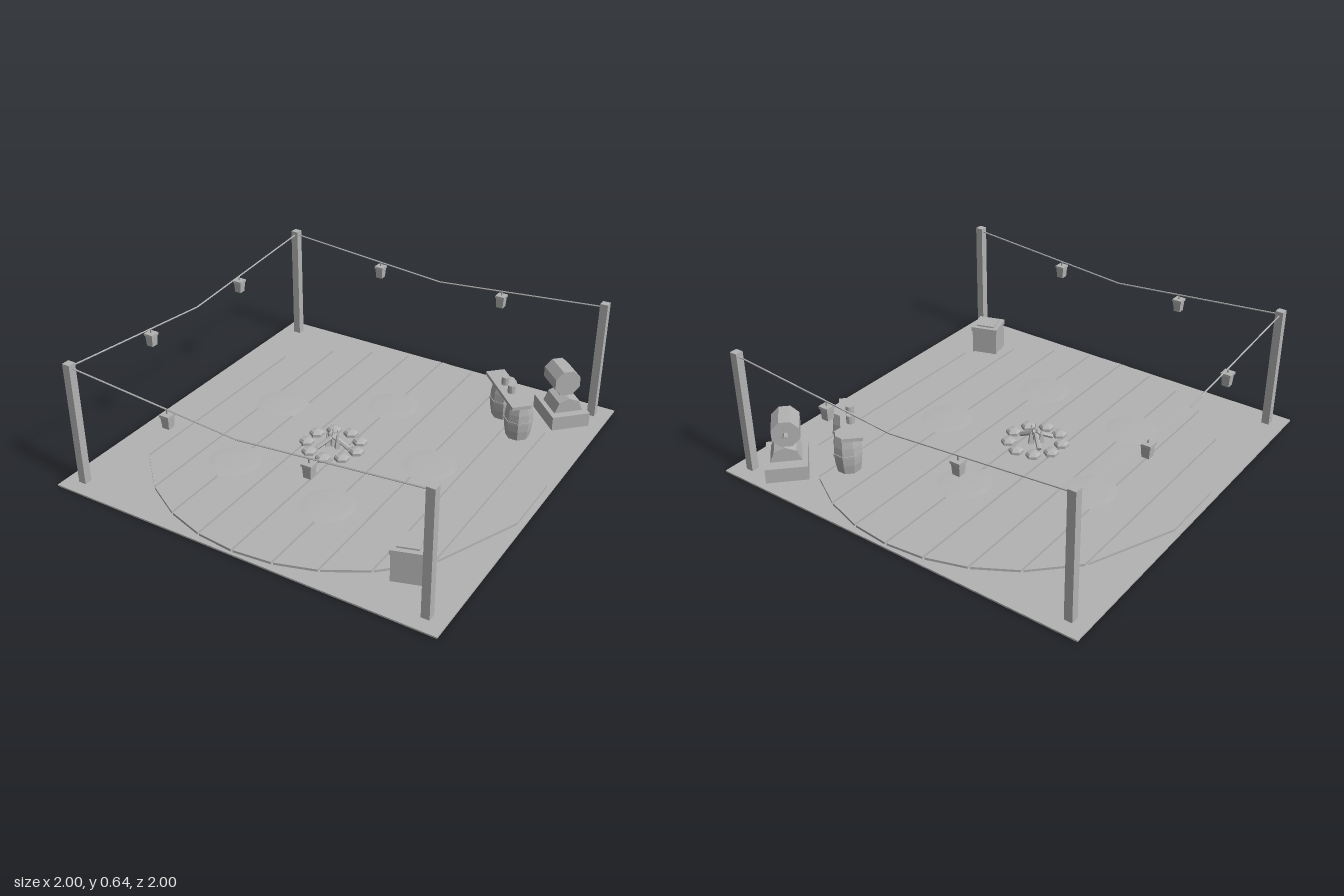
import * as THREE from 'three';

const grey = new THREE.MeshStandardMaterial({ color: 0xb3b3b3, flatShading: true });
grey.name = 'plain grey';

function add(parent, name, geometry, x = 0, y = 0, z = 0) {
  const mesh = new THREE.Mesh(geometry, grey);
  mesh.name = name;
  mesh.position.set(x, y, z);
  parent.add(mesh);
  return mesh;
}

function group(parent, name, x = 0, y = 0, z = 0, turn = 0) {
  const g = new THREE.Group();
  g.name = name;
  g.position.set(x, y, z);
  g.rotation.y = turn;
  parent.add(g);
  return g;
}

const box = (w, h, d) => new THREE.BoxGeometry(w, h, d);

// Straight bar between two points
function bar(parent, name, a, b, radius, sides, endRadius = radius) {
  const from = new THREE.Vector3(...a), to = new THREE.Vector3(...b);
  const dir = to.clone().sub(from);
  const mesh = add(parent, name, new THREE.CylinderGeometry(endRadius, radius, dir.length(), sides));
  mesh.position.copy(from).add(to).multiplyScalar(0.5);
  mesh.quaternion.setFromUnitVectors(new THREE.Vector3(0, 1, 0), dir.normalize());
}

// Ten boards cut to a round outline, with narrow gaps
function buildDeck(parent) {
  const deck = group(parent, 'deck');
  const R = 0.985, pitch = 0.196, gap = 0.01;
  for (let i = -5; i < 5; i++) {
    const x0 = Math.max(i * pitch + gap / 2, -0.97), x1 = Math.min((i + 1) * pitch - gap / 2, 0.97);
    const z0 = Math.sqrt(R * R - x0 * x0), z1 = Math.sqrt(R * R - x1 * x1);
    const shape = new THREE.Shape([[x0, -z0], [x1, -z1], [x1, z1], [x0, z0]].map(p => new THREE.Vector2(...p)));
    const board = new THREE.ExtrudeGeometry(shape, { depth: 0.014, bevelEnabled: false });
    add(deck, 'deckBoard', board.rotateX(-Math.PI / 2), 0, 0.006, 0);
  }
}

// Tapered hanging lantern, origin at the string
function buildLantern(parent, x, z) {
  const lantern = group(parent, 'lantern', x, 0.572, z);
  add(lantern, 'lanternHook', box(0.006, 0.024, 0.006), 0, -0.011, 0);
  add(lantern, 'lanternCap', box(0.05, 0.012, 0.05), 0, -0.028, 0);
  const body = new THREE.CylinderGeometry(0.03, 0.025, 0.055, 4).rotateY(Math.PI / 4);
  add(lantern, 'lanternBody', body, 0, -0.06, 0);
}

// Posts, sagging strings on three sides, two lanterns per string
function buildStringLights(parent) {
  const P = 0.91;
  for (const x of [-P, P]) for (const z of [-P, P]) add(parent, 'post', box(0.04, 0.64, 0.04), x, 0.32, z);
  const sides = [t => [t, -P], t => [t, P], t => [-P, t]];
  for (const place of sides) {
    const [mx, mz] = place(0);
    for (const s of [-1, 1]) {
      const [ex, ez] = place(s * P);
      bar(parent, 'string', [ex, 0.62, ez], [mx, 0.54, mz], 0.004, 5);
      buildLantern(parent, ...place(s * 0.36));
    }
  }
}

// Ring of stones, leaning logs and pointed flames
function buildCampfire(parent) {
  const fire = group(parent, 'campfire', -0.065, 0, 0.057);
  for (let i = 0; i < 9; i++) {
    const a = i / 9 * Math.PI * 2;
    const profile = [[0, 0.006], [0.038, 0.006], [0.038, 0.034], [0.028, 0.044], [0, 0.05]];
    const stone = new THREE.LatheGeometry(profile.map(p => new THREE.Vector2(...p)), 6);
    add(fire, 'stone', stone, 0.133 * Math.cos(a), 0, 0.133 * Math.sin(a));
  }
  for (const a of [0, 2.15, 3.9]) {
    const c = Math.cos(a), s = Math.sin(a);
    bar(fire, 'log', [c * 0.09, 0.03, s * 0.09], [-c * 0.02, 0.085, -s * 0.02], 0.012, 6);
  }
  for (const [x, z, h] of [[0, 0, 0.11], [0.03, 0.01, 0.09], [-0.025, 0.015, 0.075], [0.01, -0.025, 0.085]])
    add(fire, 'flame', new THREE.ConeGeometry(0.018, h, 4), x, 0.02 + h / 2, z);
}

// Shallow round mats around the fire
function buildMats(parent) {
  for (let i = 0; i < 5; i++) {
    const a = (-83 + 72 * i) * Math.PI / 180;
    const mat = new THREE.SphereGeometry(0.14, 24, 4, 0, Math.PI * 2, 0, Math.PI / 2).scale(1, 0.04, 1);
    add(parent, 'roundMat', mat, -0.06 + 0.495 * Math.cos(a), 0.018, 0.062 + 0.495 * Math.sin(a));
  }
}

// Board on two barrels with two cups
function buildBarrelTable(parent) {
  const table = group(parent, 'barrelTable', 0.58, 0, -0.56, -Math.PI / 4);
  add(table, 'tableTop', box(0.375, 0.018, 0.1), 0, 0.226, 0);
  const profile = [[0, 0.015], [0.058, 0.015], [0.068, 0.07], [0.071, 0.116], [0.068, 0.162], [0.058, 0.217], [0, 0.217]];
  for (const s of [-1, 1]) {
    const barrel = new THREE.LatheGeometry(profile.map(p => new THREE.Vector2(...p)), 8, Math.PI / 8);
    add(table, 'barrel', barrel, s * 0.102, 0, -0.024);
    const hoop = new THREE.CylinderGeometry(0.074, 0.074, 0.014, 8).rotateY(Math.PI / 8);
    add(table, 'barrelHoop', hoop, s * 0.102, 0.116, -0.024);
    add(table, 'cup', new THREE.CylinderGeometry(0.02, 0.02, 0.042, 10), s * 0.043, 0.256, 0);
  }
}

// Eight-sided drum carried above a low dome on a plinth
function buildGrill(parent) {
  const grill = group(parent, 'grill', 0.78, 0, -0.805, -Math.PI / 4);
  add(grill, 'plinth', box(0.247, 0.076, 0.2), 0, 0.044, 0);
  const dome = new THREE.CylinderGeometry(0.075, 0.075, 0.145, 4, 1, false, 0, Math.PI);
  add(grill, 'dome', dome.rotateZ(Math.PI / 2), 0.01, 0.082, 0);
  add(grill, 'neck', box(0.04, 0.05, 0.05), 0, 0.165, 0);
  const drum = new THREE.CylinderGeometry(0.071, 0.071, 0.15, 8).rotateY(Math.PI / 8);
  add(grill, 'drum', drum.rotateZ(Math.PI / 2), -0.005, 0.24, 0.012);
  add(grill, 'drumKnob', new THREE.CylinderGeometry(0.012, 0.012, 0.04, 6).rotateZ(Math.PI / 2), -0.095, 0.24, 0.012);
}

// Storage chest with a raised lid panel
function buildChest(parent) {
  const chest = group(parent, 'chest', 0.72, 0, 0.714, 0.31);
  add(chest, 'chestBody', box(0.138, 0.14, 0.138), 0, 0.078, 0);
  add(chest, 'chestLid', box(0.146, 0.024, 0.146), 0, 0.16, 0);
  add(chest, 'lidPanel', box(0.1, 0.008, 0.1), 0, 0.176, 0);
}

export function createModel() {
  const model = new THREE.Group();
  model.name = 'campsite';
  add(model, 'ground', box(2, 0.008, 2), 0, 0.004, 0);
  buildDeck(model);
  buildStringLights(model);
  buildCampfire(model);
  buildMats(model);
  buildBarrelTable(model);
  buildGrill(model);
  buildChest(model);
  return model;
}
